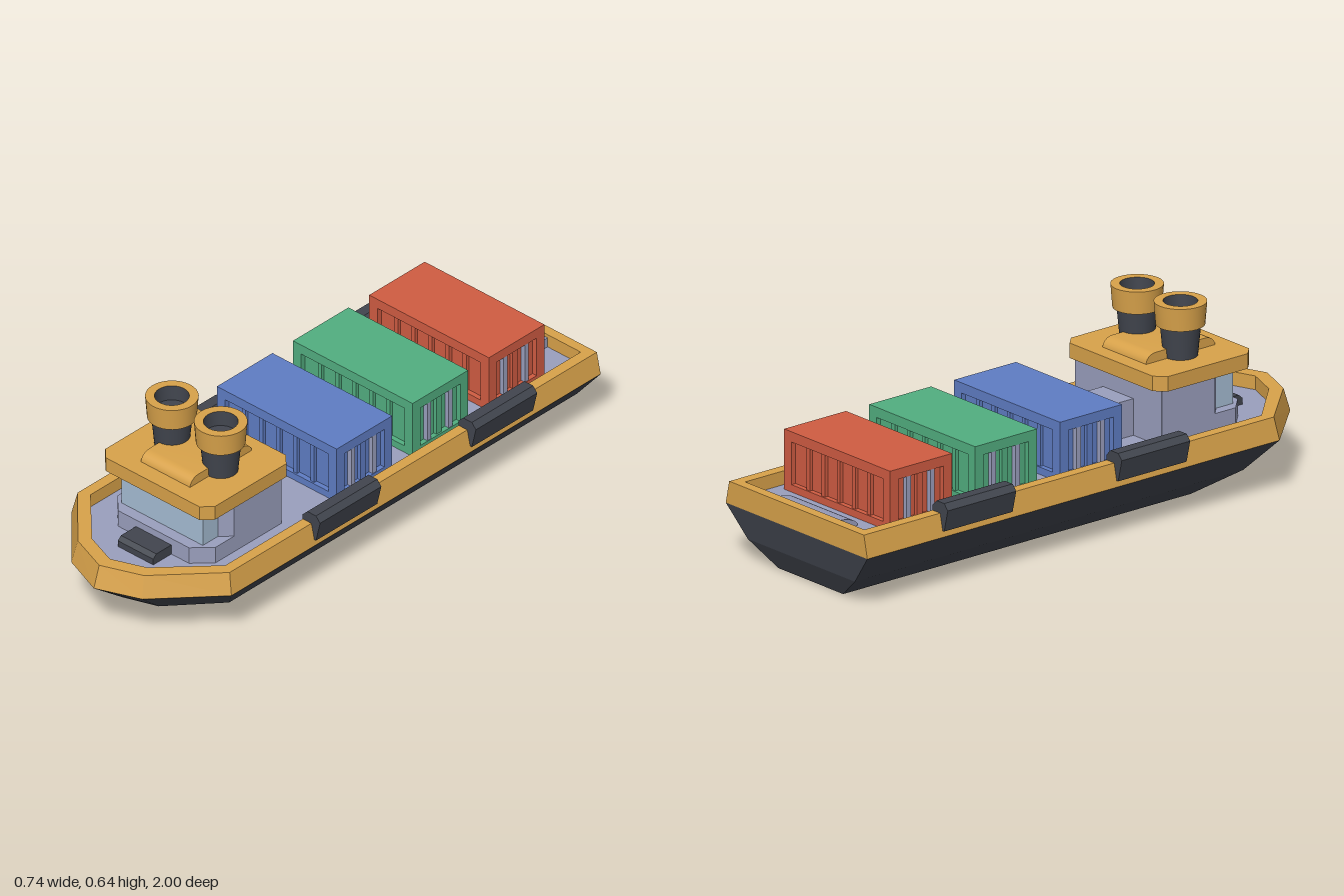
import * as THREE from 'three';
import { toCreasedNormals } from 'three/addons/utils/BufferGeometryUtils.js';

const mat = (name, color) => {
  const m = new THREE.MeshStandardMaterial({ color });
  m.name = name;
  return m;
};

export function createModel() {
  const charcoal = mat('charcoal', 0x41454e);
  const gold = mat('gold', 0xd8a24a);
  const grey = mat('lavender grey', 0x9a9fbd);
  const glass = mat('pale blue glass', 0xa5bcd3);
  const blue = mat('blue', 0x5f7dc4);
  const green = mat('green', 0x52ae80);
  const red = mat('red', 0xd05c42);

  const root = new THREE.Group();
  root.name = 'cargoShip';
  const add = (name, geo, material, parent = root) => {
    const mesh = new THREE.Mesh(geo, material);
    mesh.name = name;
    parent.add(mesh);
    return mesh;
  };
  const box = (name, x0, x1, y0, y1, z0, z1, material, parent) =>
    add(name, new THREE.BoxGeometry(x1 - x0, y1 - y0, z1 - z0), material, parent)
      .position.set((x0 + x1) / 2, (y0 + y1) / 2, (z0 + z1) / 2);

  // Upright prism from a plan outline of [x, z] points
  const prism = (plan, y0, y1) => {
    const shape = new THREE.Shape(plan.map(([x, z]) => new THREE.Vector2(x, -z)));
    return new THREE.ExtrudeGeometry(shape, { depth: y1 - y0, bevelEnabled: false })
      .rotateX(-Math.PI / 2).translate(0, y0, 0);
  };
  // Prism across the ship from a side profile of [z, y] points
  const crossPrism = (profile, width) => {
    const shape = new THREE.Shape(profile.map(([z, y]) => new THREE.Vector2(z, y)));
    return new THREE.ExtrudeGeometry(shape, { depth: width, bevelEnabled: false })
      .rotateY(-Math.PI / 2).translate(width / 2, 0, 0);
  };
  // Rectangle plan with cut corners, c0 at the back and c1 at the front
  const cutRect = (w, z0, z1, c0, c1) => {
    const half = [[w - c0, z0], [w, z0 + c0], [w, z1 - c1], [w - c1, z1]];
    return [...half, ...half.map(([x, z]) => [-x, z]).reverse()];
  };

  // Hull outline at one height: stern corner, shoulder, cheek and bow tip, mirrored
  const ring = (y, w, stern, shoulder, cheekX, cheekZ, tip) => {
    const half = [[w, stern], [w, shoulder], [cheekX, cheekZ]];
    return [...half, [0, tip], ...half.map(([x, z]) => [-x, z]).reverse()]
      .map(([x, z]) => [x, y, z]);
  };
  const surface = (triangles) => {
    const g = new THREE.BufferGeometry();
    g.setAttribute('position', new THREE.Float32BufferAttribute(triangles.flat(), 3));
    g.computeVertexNormals();
    return g;
  };
  const loft = (rings) => {
    const tris = [];
    for (let r = 0; r + 1 < rings.length; r++) {
      const a = rings[r], b = rings[r + 1], n = a.length;
      for (let i = 0; i < n; i++) {
        const j = (i + 1) % n;
        tris.push(a[i], b[i], b[j], a[i], b[j], a[j]);
      }
    }
    return tris;
  };
  const cap = (r, up) => {
    const tris = [];
    for (let i = 1; i + 1 < r.length; i++) {
      tris.push(r[0], ...(up ? [r[i + 1], r[i]] : [r[i], r[i + 1]]));
    }
    return tris;
  };

  // Hull, rail and deck
  const deckY = 0.215;
  const keel = ring(0, 0.16, -0.94, 0.52, 0.07, 0.62, 0.65);
  const bilge = ring(0.08, 0.265, -0.98, 0.65, 0.115, 0.82, 0.86);
  const belt = ring(0.185, 0.35, -1, 0.73, 0.155, 0.94, 1);
  const railOuter = ring(0.262, 0.333, -1, 0.72, 0.145, 0.92, 0.975);
  const railInner = ring(0.262, 0.295, -0.965, 0.7, 0.12, 0.88, 0.925);
  const deckEdge = ring(deckY, 0.295, -0.965, 0.7, 0.12, 0.88, 0.925);
  add('hull', surface([...cap(keel, false), ...loft([keel, bilge, belt])]), charcoal);
  add('rail', surface(loft([belt, railOuter, railInner, deckEdge])), gold);
  add('deck', surface(cap(deckEdge, true)), grey);

  // Curved ramp at the stern
  const ramp = [[-0.965, deckY - 0.01]];
  for (let i = 0; i <= 8; i++) {
    const a = (i / 8) * Math.PI / 2;
    ramp.push([-0.87 - 0.095 * (1 - Math.sin(a)), deckY + 0.035 * Math.cos(a)]);
  }
  ramp.push([-0.87, deckY - 0.01]);
  add('sternRamp', toCreasedNormals(crossPrism(ramp, 0.3), 0.6), grey);

  // Fenders hooked over the rail
  const fender = [[0.295, 0.22], [0.295, 0.28], [0.315, 0.3], [0.353, 0.3], [0.371, 0.28], [0.353, 0.205], [0.335, 0.205]];
  for (const side of [-1, 1]) {
    for (const z of [-0.68, 0.05]) {
      const shape = new THREE.Shape(fender.map(([x, y]) => new THREE.Vector2(side * x, y)));
      const geo = new THREE.ExtrudeGeometry(shape, { depth: 0.287, bevelEnabled: false });
      add('fender', geo, charcoal).position.z = z;
    }
  }

  // Wheelhouse
  const cabin = new THREE.Group();
  cabin.name = 'wheelhouse';
  root.add(cabin);
  add('cabinBody', prism(cutRect(0.215, 0.35, 0.61, 0.001, 0.037), deckY, 0.41), grey, cabin);
  add('cabinLedge', prism(cutRect(0.215, 0.5, 0.72, 0.001, 0.06), deckY, 0.275), grey, cabin);
  box('window', -0.178, 0.178, 0.275, 0.41, 0.575, 0.68, glass, cabin);
  box('rearLocker', -0.075, 0.075, deckY, 0.34, 0.25, 0.351, grey, cabin);
  add('bowHatch', crossPrism([[0.71, deckY], [0.71, 0.25], [0.79, 0.25], [0.805, 0.237], [0.805, deckY]], 0.155), charcoal, cabin);
  add('roof', prism(cutRect(0.24, 0.32, 0.725, 0.035, 0.035), 0.408, 0.459), gold, cabin);

  // Round-ended hump on the roof
  const hump = [];
  for (let i = 0; i <= 6; i++) {
    const a = (i / 6) * Math.PI / 2;
    hump.push([0.625 + 0.04 * Math.cos(a), 0.457 + 0.034 * Math.sin(a)]);
  }
  hump.push(...hump.map(([z, y]) => [1.04 - z, y]).reverse());
  add('roofHump', toCreasedNormals(crossPrism(hump, 0.215), 0.6), gold, cabin);

  // Funnels with hollow flared caps
  const lathe = (points) => toCreasedNormals(
    new THREE.LatheGeometry(points.map(([r, y]) => new THREE.Vector2(r, y)), 32), 0.6);
  for (const side of [-1, 1]) {
    const funnel = new THREE.Group();
    funnel.name = side > 0 ? 'leftFunnel' : 'rightFunnel';
    funnel.position.set(side * 0.107, 0, 0.52);
    root.add(funnel);
    add('funnelPipe', lathe([[0.056, 0.455], [0.067, 0.57]]), charcoal, funnel);
    add('funnelCap', lathe([[0.06, 0.565], [0.08, 0.565], [0.086, 0.643], [0.056, 0.643]]), gold, funnel);
    add('funnelMouth', lathe([[0.056, 0.643], [0.054, 0.59], [0, 0.59]]), charcoal, funnel);
  }

  // Cargo containers: recessed core, frame, ribs and end door bars
  const addContainer = (name, z, paint) => {
    const c = new THREE.Group();
    c.name = name;
    c.position.z = z;
    root.add(c);
    const W = 0.262, D = 0.13, top = 0.42, inset = 0.018, post = 0.036;
    box('core', -W + inset, W - inset, deckY, top - 0.01, -D + inset, D - inset, paint, c);
    box('lid', -W, W, 0.385, top, -D, D, paint, c);
    box('base', -W, W, deckY, 0.24, -D, D, paint, c);
    for (const sx of [-1, 1]) {
      for (const sz of [-1, 1]) {
        const x = sx * (W - post / 2), pz = sz * (D - post / 2);
        box('cornerPost', x - post / 2, x + post / 2, 0.24, 0.385, pz - post / 2, pz + post / 2, paint, c);
        const bx = sx * (W - 0.01), bz = sz * 0.05;
        box('doorBar', bx - 0.008, bx + 0.008, 0.24, 0.385, bz - 0.009, bz + 0.009, grey, c);
      }
      const rx = sx * (W - 0.013);
      box('doorRib', rx - 0.007, rx + 0.007, 0.24, 0.385, -0.012, 0.012, paint, c);
    }
    for (const sz of [-1, 1]) {
      for (let i = -2; i <= 2; i++) {
        const x = i * 0.075, rz = sz * (D - 0.013);
        box('sideRib', x - 0.008, x + 0.008, 0.24, 0.385, rz - 0.007, rz + 0.007, paint, c);
      }
    }
  };
  addContainer('blueContainer', 0.013, blue);
  addContainer('greenContainer', -0.343, green);
  addContainer('redContainer', -0.7, red);

  return root;
}
